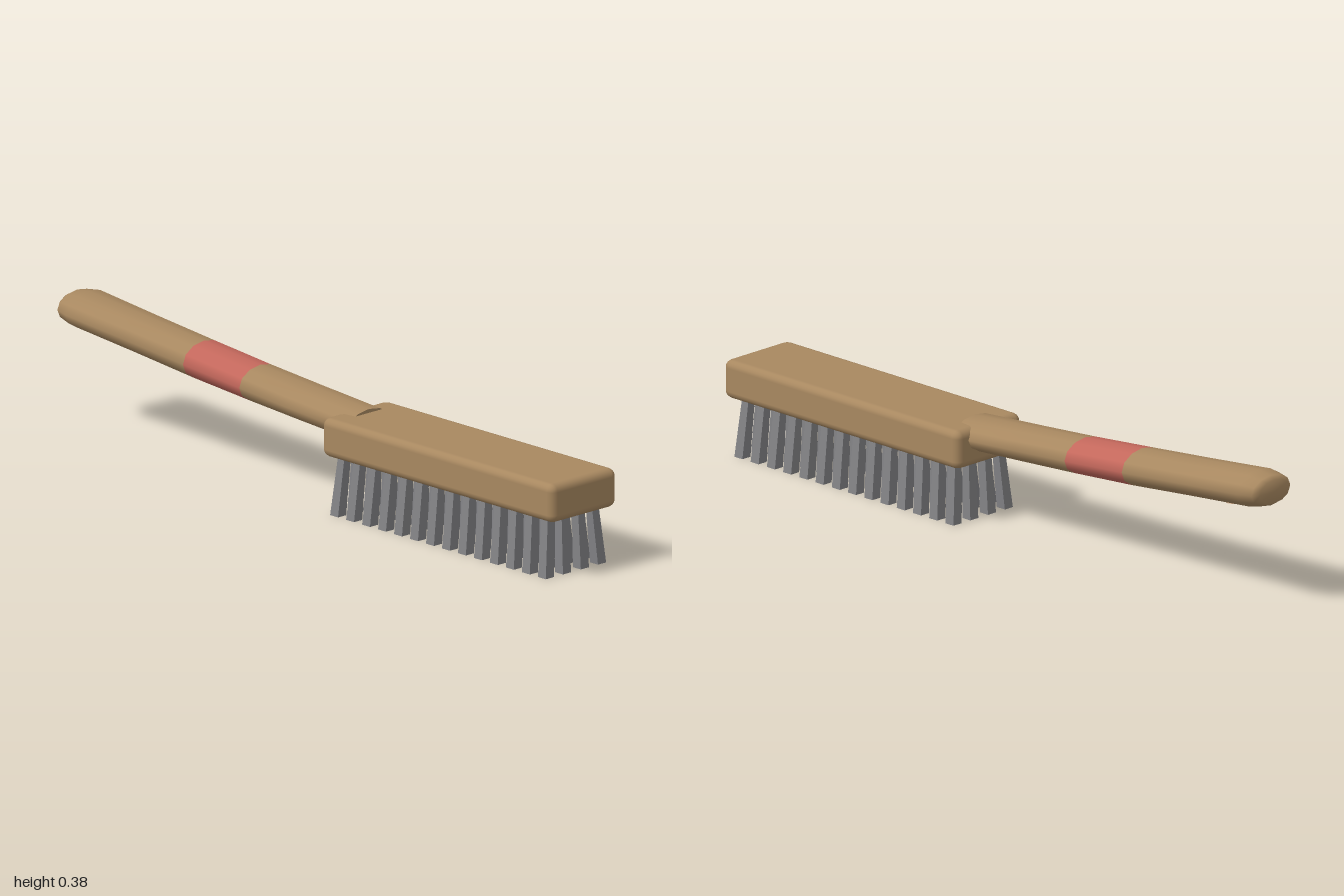
import * as THREE from 'three';
import { mergeGeometries } from 'three/addons/utils/BufferGeometryUtils.js';
import { RoundedBoxGeometry } from 'three/addons/geometries/RoundedBoxGeometry.js';

const material = (name, color) => {
  const m = new THREE.MeshStandardMaterial({ color });
  m.name = name;
  return m;
};

// Oval handle lofted through stations [x, centre y, half height, half width]
function handleGeometry() {
  const stations = [
    [-1, 0.335, 0, 0], [-1, 0.335, 0.034, 0.058], [-0.985, 0.335, 0.043, 0.075],
    [-0.94, 0.333, 0.051, 0.088], [-0.72, 0.311, 0.051, 0.082],
    [-0.49, 0.288, 0.052, 0.079], [-0.27, 0.269, 0.05, 0.079],
    [-0.08, 0.255, 0.048, 0.082], [0.155, 0.239, 0.046, 0.084],
    [0.155, 0.239, 0.046, 0.084], [0.155, 0.239, 0, 0],
  ];
  const sides = 12, pos = [], index = [];
  for (const [x, y, ry, rz] of stations) {
    for (let j = 0; j < sides; j++) {
      const a = (j / sides) * Math.PI * 2;
      pos.push(x, y + ry * Math.cos(a), rz * Math.sin(a));
    }
  }
  const geo = new THREE.BufferGeometry();
  for (let i = 0; i < stations.length - 1; i++) {
    for (let j = 0; j < sides; j++) {
      const k = (j + 1) % sides;
      const a = i * sides + j, b = i * sides + k, c = a + sides, d = b + sides;
      index.push(a, b, c, b, d, c);
    }
    // The span between the fifth and sixth stations is the painted band
    geo.addGroup(i * sides * 6, sides * 6, i === 5 ? 1 : 0);
  }
  geo.setAttribute('position', new THREE.Float32BufferAttribute(pos, 3));
  geo.setIndex(index);
  geo.computeVertexNormals();
  return geo;
}

// One square tuft, wider at its foot and leaning outward
function tuft(xTop, xFoot, zTop, zFoot) {
  const topY = 0.185;
  const geo = new THREE.BoxGeometry(1, topY, 1).translate(0, topY / 2, 0);
  const p = geo.attributes.position;
  for (let i = 0; i < p.count; i++) {
    const top = p.getY(i) > topY / 2;
    const w = top ? 0.024 : 0.031;
    p.setX(i, p.getX(i) * w + (top ? xTop : xFoot));
    p.setZ(i, p.getZ(i) * w + (top ? zTop : zFoot));
  }
  geo.computeVertexNormals();
  return geo;
}

export function createModel() {
  const wood = material('wood', 0xa88860);
  const red = material('red band', 0xc4685c);
  const steel = material('steel bristle', 0x838386);
  const pale = material('pale wood', 0xe6bf9c);

  const model = new THREE.Group();
  model.name = 'wireBrush';
  const add = (name, geo, mat) => {
    const mesh = new THREE.Mesh(geo, mat);
    mesh.name = name;
    model.add(mesh);
    return mesh;
  };

  // Head block
  add('headBlock', new RoundedBoxGeometry(0.905, 0.11, 0.25, 2, 0.022), wood)
    .position.set(0.5475, 0.219, 0);

  // Handle with its painted band
  add('handle', handleGeometry(), [wood, red]);

  // Hanging hole mark under the grip
  const hole = add('hangingHole', new THREE.CylinderGeometry(0.027, 0.027, 0.009, 16), pale);
  hole.position.set(-0.85, 0.276, 0);
  hole.rotation.z = -0.105;

  // Bristle tufts: 14 along, 4 across
  const tufts = [];
  for (let i = 0; i < 14; i++) {
    const t = i / 13;
    for (const [zTop, zFoot] of [[0.082, 0.099], [0.031, 0.034]]) {
      for (const s of [-1, 1]) {
        tufts.push(tuft(0.147 + 0.793 * t, 0.137 + 0.812 * t, s * zTop, s * zFoot));
      }
    }
  }
  add('bristles', mergeGeometries(tufts), steel);
  return model;
}
